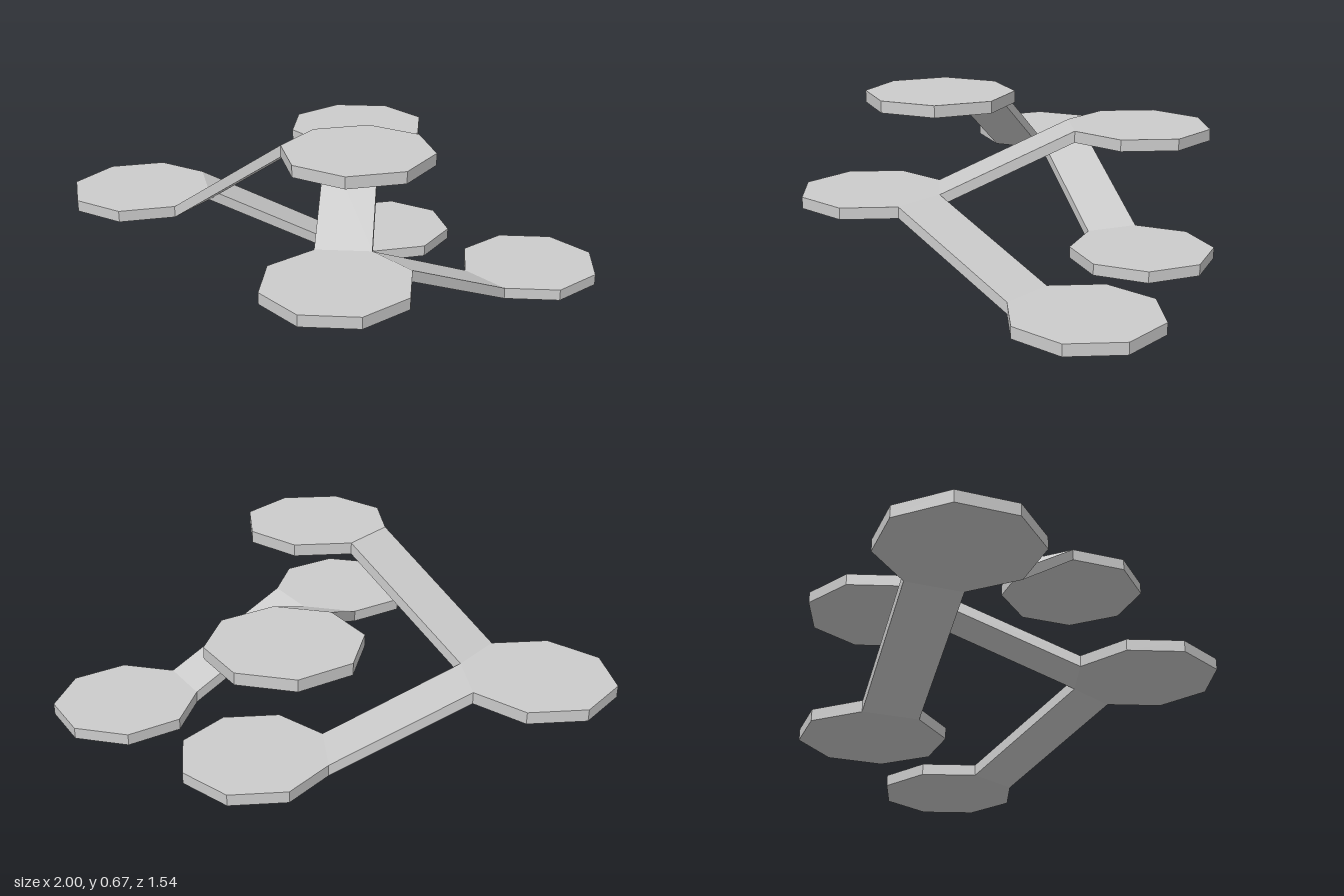
import * as THREE from 'three';

const RADIUS = 0.278, THICK = 0.044;
const material = new THREE.MeshStandardMaterial({ color: 0xcccccc, flatShading: true });

// Corner k of an octagonal platform, on its upper face
function corner(p, k) {
  const a = THREE.MathUtils.degToRad(p.turn + 45 * (k % 8));
  return [p.x + RADIUS * Math.cos(a), p.y, p.z + RADIUS * Math.sin(a)];
}

// Slab of even vertical thickness below a convex outline; listed walls stay open
function slab(name, outline, openWalls = []) {
  const pos = [], low = outline.map(([x, y, z]) => [x, y - THICK, z]);
  const tri = (a, b, c) => pos.push(...a, ...b, ...c);
  const n = outline.length;
  for (let i = 1; i < n - 1; i++) {
    tri(outline[0], outline[i + 1], outline[i]);
    tri(low[0], low[i], low[i + 1]);
  }
  for (let i = 0; i < n; i++) {
    if (openWalls.includes(i)) continue;
    const j = (i + 1) % n;
    tri(outline[i], outline[j], low[j]);
    tri(outline[i], low[j], low[i]);
  }
  const geo = new THREE.BufferGeometry();
  geo.setAttribute('position', new THREE.Float32BufferAttribute(pos, 3));
  geo.computeVertexNormals();
  const mesh = new THREE.Mesh(geo, material);
  mesh.name = name;
  return mesh;
}

// Ramp from edge k of one platform to the facing edge of another
function ramp(name, p, q, k) {
  return slab(name, [corner(p, k + 1), corner(p, k), corner(q, k + 5), corner(q, k + 4)], [0, 2]);
}

export function createModel() {
  const group = new THREE.Group();
  group.name = 'rampedPlatforms';

  // Two chains of three platforms; y is the height of the upper face
  const platforms = {
    leftChainTop: { x: -0.07, y: 0.672, z: 0.265, turn: -18 },
    leftChainMiddle: { x: -0.735, y: 0.332, z: -0.505, turn: -18 },
    leftChainBottom: { x: 0.275, y: 0.06, z: -0.42, turn: -18 },
    rightChainTop: { x: 0.165, y: 0.52, z: -0.457, turn: 0 },
    rightChainMiddle: { x: -0.22, y: 0.284, z: 0.49, turn: 0 },
    rightChainBottom: { x: 0.72, y: 0.044, z: 0.082, turn: 0 },
  };
  for (const [name, p] of Object.entries(platforms)) {
    group.add(slab(name + 'Platform', Array.from({ length: 8 }, (_, k) => corner(p, k))));
  }

  // Ramps joining each chain
  const P = platforms;
  group.add(
    ramp('leftChainUpperRamp', P.leftChainMiddle, P.leftChainTop, 1),
    ramp('leftChainLowerRamp', P.leftChainMiddle, P.leftChainBottom, 0),
    ramp('rightChainUpperRamp', P.rightChainTop, P.rightChainMiddle, 2),
    ramp('rightChainLowerRamp', P.rightChainMiddle, P.rightChainBottom, 7),
  );
  return group;
}
